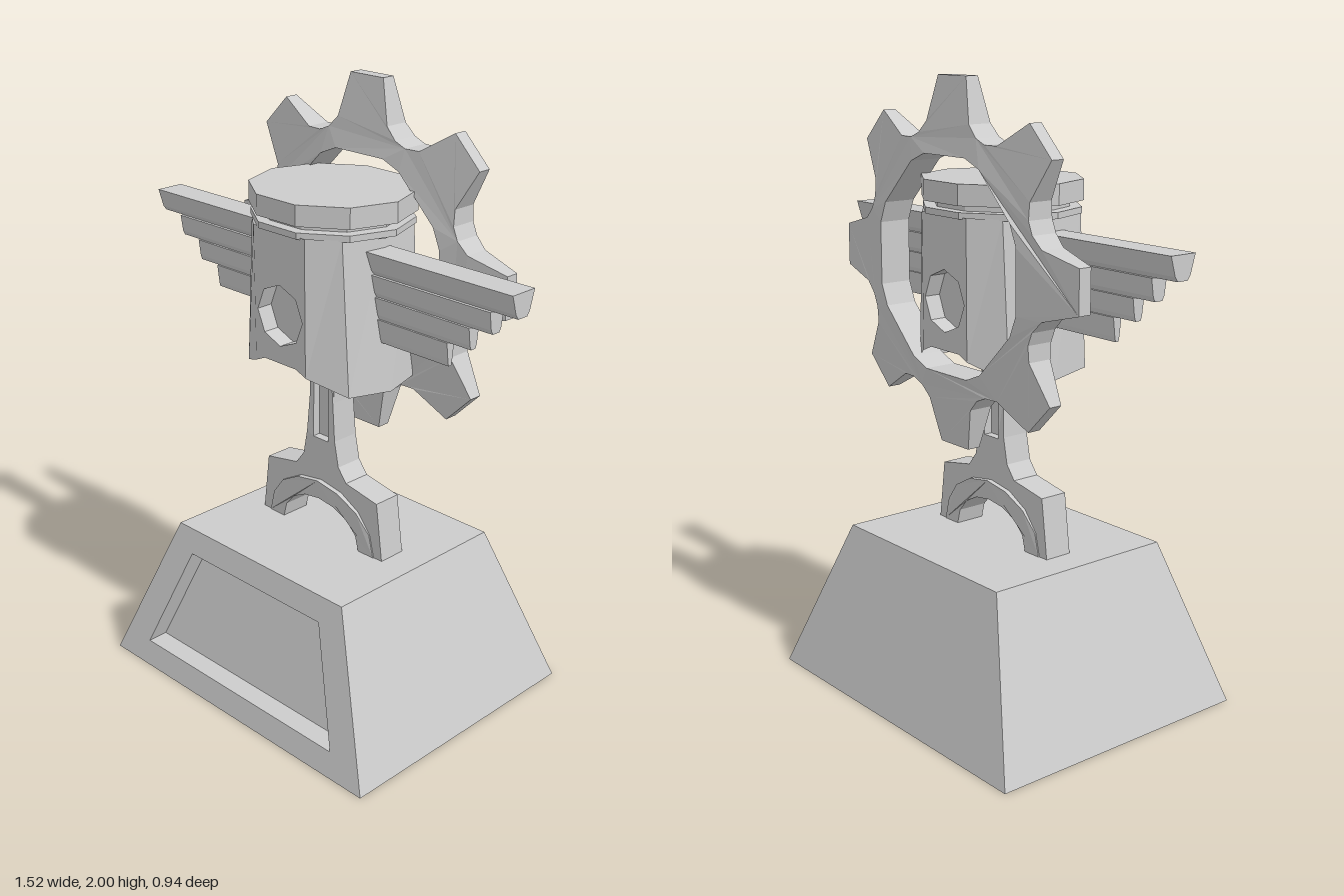
import * as THREE from 'three';

const material = new THREE.MeshStandardMaterial({ color: 0xcccccc, flatShading: true, side: THREE.DoubleSide });

function add(parent, name, geometry) {
  const mesh = new THREE.Mesh(geometry, material);
  mesh.name = name;
  parent.add(mesh);
  return mesh;
}

// Skin between successive rings of [x, y, z] points
function loft(rings, closed = true) {
  const pos = [];
  for (let k = 0; k + 1 < rings.length; k++) {
    const p = rings[k], q = rings[k + 1], n = p.length;
    for (let i = 0; i < (closed ? n : n - 1); i++) {
      const j = (i + 1) % n;
      pos.push(...p[i], ...p[j], ...q[j], ...p[i], ...q[j], ...q[i]);
    }
  }
  const g = new THREE.BufferGeometry();
  g.setAttribute('position', new THREE.Float32BufferAttribute(pos, 3));
  g.computeVertexNormals();
  return g;
}

const shapeOf = pts => new THREE.Shape(pts.map(([x, y]) => new THREE.Vector2(x, y)));
const mirrored = pts => [...pts, ...pts.map(([x, ...r]) => [-x, ...r]).reverse()];

// Flat plate whose half thickness depends on (x, y)
function plate(shape, half, zMid) {
  const g = new THREE.ExtrudeGeometry(shape, { depth: 1, bevelEnabled: false });
  const p = g.attributes.position;
  for (let i = 0; i < p.count; i++) {
    const h = half(p.getX(i), p.getY(i));
    p.setZ(i, zMid + (p.getZ(i) > 0.5 ? h : -h));
  }
  g.computeVertexNormals();
  return g;
}

function buildBase() {
  const base = new THREE.Group();
  base.name = 'base';
  const H = 0.52;
  const bottom = [[0.59, 0, 0.47], [0.59, 0, -0.47], [-0.59, 0, -0.47], [-0.59, 0, 0.47]];
  const top = [[0.38, H, 0.34], [0.38, H, -0.33], [-0.38, H, -0.33], [-0.38, H, 0.34]];
  add(base, 'baseWalls', loft([bottom, top], false));
  add(base, 'baseTop', loft([[top[3], top[0]], [top[2], top[1]]], false));

  // Front wall with a sunken panel
  const faceZ = y => 0.47 - 0.13 * y / H;
  const frame = (w0, y0, w1, y1, depth) => [[-w0, y0], [w0, y0], [w1, y1], [-w1, y1]]
    .map(([x, y]) => [x, y, faceZ(y) - depth]);
  const inner = frame(0.44, 0.08, 0.3, 0.44, 0.07);
  add(base, 'baseFront', loft([frame(0.59, 0, 0.38, H, 0), frame(0.44, 0.08, 0.3, 0.44, 0), inner]));
  add(base, 'basePanel', loft([[inner[0], inner[1]], [inner[3], inner[2]]], false));
  return base;
}

function buildGear() {
  // Per tooth: [degrees from tooth centre, radius]
  const tooth = [[-13.5, 0.445], [-6.8, 0.574], [6.8, 0.574], [13.5, 0.445], [19.5, 0.42], [25.5, 0.42]];
  const outer = [], hole = [];
  const polar = (deg, r) => [r * Math.cos(deg * Math.PI / 180), r * Math.sin(deg * Math.PI / 180)];
  for (let i = 0; i < 8; i++) {
    for (const [a, r] of tooth) outer.push(polar(i * 45 + a, r));
    for (const a of [-16.6, 16.6]) hole.push(polar(i * 45 + a, 0.35));
  }
  const shape = shapeOf(outer);
  shape.holes.push(shapeOf(hole));
  // Thick at the hole, thin at the tooth tips
  const half = (x, y) => 0.055 - 0.033 * (Math.hypot(x, y) - 0.35) / 0.224;
  return plate(shape, half, -0.167).translate(0, 1.43, 0);
}

function buildPiston() {
  const piston = new THREE.Group();
  piston.name = 'piston';

  // Ten-sided crown, groove and ring
  const disc = (name, r, y0, y1) => {
    const g = new THREE.CylinderGeometry(r, r, y1 - y0, 10, 1, false, Math.PI / 2);
    add(piston, name, g.scale(1, 1, 0.92).translate(0, (y0 + y1) / 2, 0));
  };
  disc('crown', 0.27, 1.625, 1.69);
  disc('groove', 0.225, 1.57, 1.63);
  disc('ring', 0.265, 1.585, 1.605);

  // Skirt sides, arched along the lower edge
  const edgeY = x => 1.17 - 0.08 * Math.max(0, Math.abs(x) - 0.07) / 0.18;
  const low = [[0.11, 0.225], [0.225, 0.155], [0.255, 0], [0.225, -0.155], [0.11, -0.225]];
  const high = [[0.11, 0.225], [0.195, 0.155], [0.215, 0], [0.195, -0.155], [0.11, -0.225]];
  for (const s of [1, -1]) {
    add(piston, 'skirtSide', loft([
      low.map(([x, z]) => [s * x, edgeY(x), s * z]),
      high.map(([x, z]) => [s * x, 1.59, s * z]),
    ], false));
  }

  // Front and back walls with the sunken pin
  const wall = shapeOf([[-0.11, edgeY(0.11)], [-0.07, 1.17], [0.07, 1.17], [0.11, edgeY(0.11)], [0.11, 1.59], [-0.11, 1.59]]);
  const ring = Array.from({ length: 8 }, (_, i) => [0.098 * Math.cos(i * Math.PI / 4), 1.325 + 0.098 * Math.sin(i * Math.PI / 4)]);
  wall.holes.push(shapeOf(ring));
  for (const turn of [0, Math.PI]) {
    add(piston, 'skirtWall', new THREE.ShapeGeometry(wall).translate(0, 0, 0.225).rotateY(turn));
    add(piston, 'pinSocket', loft([0.225, 0.17].map(z => ring.map(([x, y]) => [x, y, z]))).rotateY(turn));
    add(piston, 'pin', new THREE.ShapeGeometry(shapeOf(ring)).translate(0, 0, 0.17).rotateY(turn));
  }
  return piston;
}

function buildWing(side) {
  const wing = new THREE.Group();
  wing.name = side > 0 ? 'leftWing' : 'rightWing';
  // Feathers: [tip x, top y, bottom y, top half width, bottom half width]
  const feathers = [
    [0.76, 1.54, 1.465, 0.048, 0.03],
    [0.67, 1.465, 1.395, 0.03, 0.022],
    [0.59, 1.395, 1.325, 0.022, 0.015],
    [0.505, 1.325, 1.25, 0.016, 0.009],
  ];
  for (const [tip, y1, y0, w1, w0] of feathers) {
    const section = shapeOf(mirrored([[w1, y1], [w0, y0 + 0.015], [w0 * 0.65, y0]]));
    const length = tip - 0.17;
    const g = new THREE.ExtrudeGeometry(section, { depth: length, bevelEnabled: false });
    g.translate(0, 0, -length / 2).rotateY(Math.PI / 2);
    add(wing, 'feather', g.translate(side * (0.17 + length / 2), 0, 0.022));
  }
  return wing;
}

function buildRod() {
  const rod = new THREE.Group();
  rod.name = 'connectingRod';

  // Forked foot and channelled shank in one outline
  const right = [[0.175, 0.52], [0.275, 0.52], [0.25, 0.715], [0.115, 0.74], [0.08, 0.785], [0.063, 0.87], [0.055, 1.0], [0.057, 1.35]];
  const arch = [[0.062, 0.648], [0.12, 0.625], [0.16, 0.58]];
  const outline = shapeOf([...mirrored(right), ...mirrored([...arch].reverse().map(([x, y]) => [-x, y]))]);
  outline.holes.push(shapeOf([[-0.034, 0.86], [0.034, 0.86], [0.03, 1.3], [-0.03, 1.3]]));
  add(rod, 'rodBody', plate(outline, (x, y) => (y > 0.9 ? 0.042 : 0.048), 0.006));
  add(rod, 'rodWeb', new THREE.BoxGeometry(0.08, 0.5, 0.04).translate(0, 1.08, 0.006));

  // Raised bearing band around the arch
  const bow = (rx, ry) => Array.from({ length: 9 }, (_, i) => [rx * Math.cos(i * Math.PI / 8), 0.52 + ry * Math.sin(i * Math.PI / 8)]);
  const band = shapeOf([...bow(0.24, 0.195), ...bow(0.174, 0.13).reverse()]);
  add(rod, 'bearingBand', plate(band, (x, y) => 0.052 + 0.013 * THREE.MathUtils.clamp((y - 0.6) / 0.1, 0, 1), 0.006));
  return rod;
}

export function createModel() {
  const model = new THREE.Group();
  model.name = 'pistonTrophy';
  model.add(buildBase(), buildRod(), buildPiston(), buildWing(1), buildWing(-1));
  add(model, 'gear', buildGear());
  return model;
}
